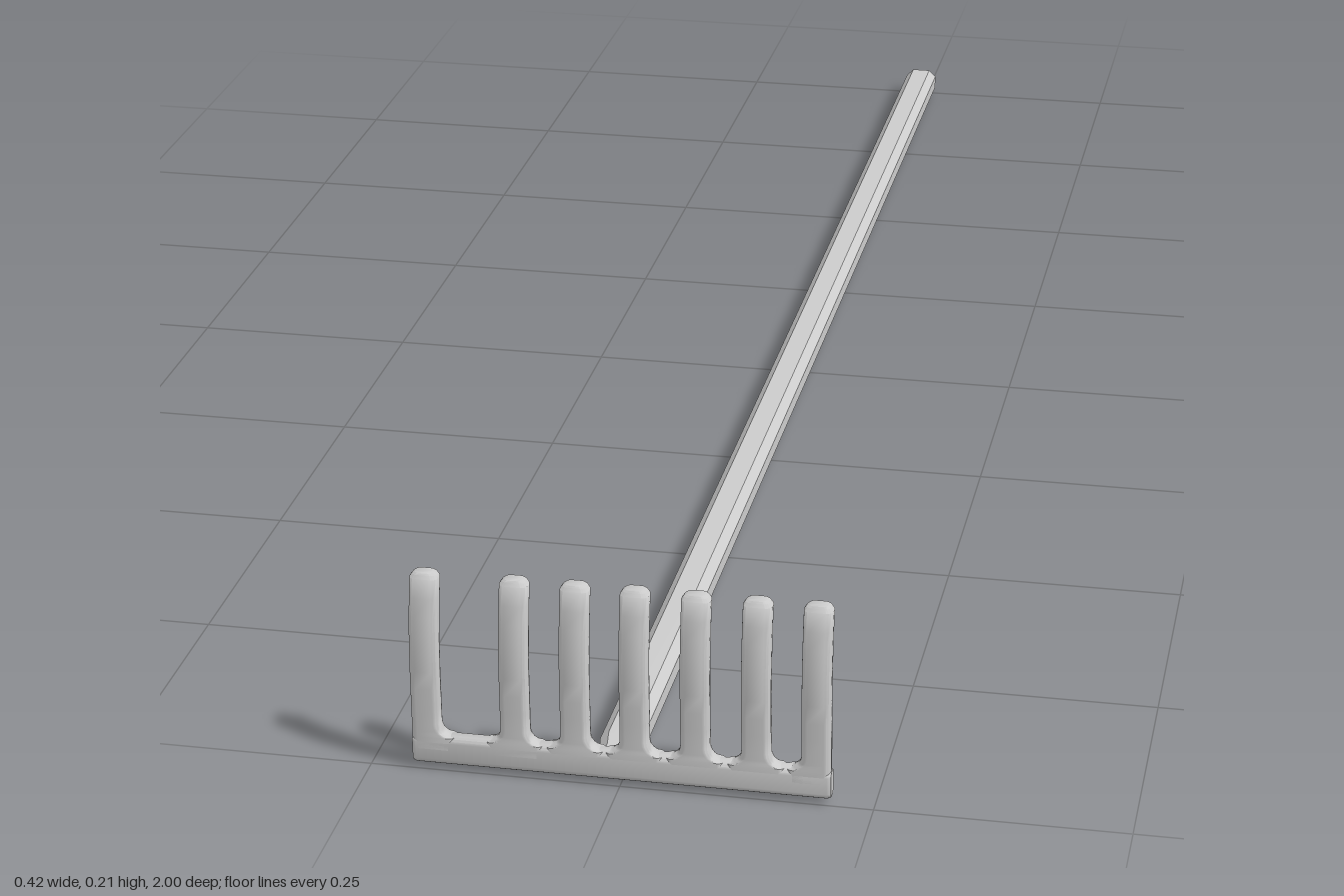
import * as THREE from 'three';
import { toCreasedNormals } from 'three/addons/utils/BufferGeometryUtils.js';

const material = new THREE.MeshStandardMaterial({ color: 0xcccccc });

// Skin a list of equal-length rings (counter-clockwise seen from the last ring) and cap both ends.
function loft(rings, crease) {
  const n = rings[0].length;
  const index = [];
  for (let r = 0; r < rings.length - 1; r++) {
    for (let i = 0; i < n; i++) {
      const a = r * n + i, b = r * n + (i + 1) % n;
      index.push(a, b, b + n, a, b + n, a + n);
    }
  }
  const last = (rings.length - 1) * n;
  for (let i = 1; i < n - 1; i++) {
    index.push(0, i + 1, i);
    index.push(last, last + i, last + i + 1);
  }
  const geometry = new THREE.BufferGeometry();
  geometry.setAttribute('position', new THREE.Float32BufferAttribute(rings.flat(2), 3));
  geometry.setIndex(index);
  return toCreasedNormals(geometry, crease);
}

// Rectangle outline with corners rounded in `steps` segments (1 = chamfer).
function roundedRect(w, h, radius, steps) {
  const points = [];
  const corners = [[1, 1], [-1, 1], [-1, -1], [1, -1]];
  corners.forEach(([sx, sy], c) => {
    for (let i = 0; i <= steps; i++) {
      const a = (c + i / steps) * Math.PI / 2;
      points.push([sx * (w / 2 - radius) + radius * Math.cos(a), sy * (h / 2 - radius) + radius * Math.sin(a)]);
    }
  });
  return points;
}

const DEPTH = 0.018, MID_Z = 0.991, TINE_W = 0.029, TOP = 0.206, BAR_TOP = 0.035;

// Tine: straight shank, rounded fillets at the bar, tip curving back.
function tineGeometry(x, flareLeft, flareRight) {
  const fillet = 0.0145;
  const levels = [[0.022, 1, 0]];
  for (let i = 0; i <= 6; i++) {
    const a = i / 6 * Math.PI / 2;
    levels.push([BAR_TOP + fillet * (1 - Math.cos(a)), 1 - Math.sin(a), 0]);
  }
  for (let i = 1; i <= 8; i++) levels.push([0.05 + i / 8 * (TOP - 0.055), 0, 0]);
  levels.push([TOP - 0.0015, 0, 0.0025], [TOP, 0, 0.005]);

  const rings = levels.map(([y, flare, inset]) => {
    const x0 = x - TINE_W / 2 - flareLeft * flare * fillet + inset;
    const x1 = x + TINE_W / 2 + flareRight * flare * fillet - inset;
    const bend = 0.014 * Math.max(0, (y - 0.1) / (TOP - 0.1)) ** 2;
    return roundedRect(x1 - x0, DEPTH - inset, 0.0065 - inset * 0.4, 4)
      .map(([px, pz]) => [(x0 + x1) / 2 + px, y, MID_Z - bend - pz]);
  });
  return loft(rings, 0.7);
}

export function createModel() {
  const rake = new THREE.Group();
  rake.name = 'rake';
  const add = (geometry, name, parent = rake) => {
    const mesh = new THREE.Mesh(geometry, material);
    mesh.name = name;
    parent.add(mesh);
  };

  // Head: cross bar with softened ends and seven tines
  const head = new THREE.Group();
  head.name = 'head';
  rake.add(head);

  const barRings = [[-0.208, 0.004], [-0.2065, 0.0015], [-0.204, 0], [0.204, 0], [0.2065, 0.0015], [0.208, 0.004]]
    .map(([x, inset]) => roundedRect(DEPTH - inset, 0.031 - inset, 0.0065 - inset * 0.4, 4)
      .map(([pz, py]) => [x, 0.0205 + py, MID_Z - pz]));
  add(loft(barRings, 0.7), 'crossBar', head);

  // The gap beside the first tine is twice as wide as the others
  const tines = [-0.194, -0.105, -0.045, 0.014, 0.074, 0.134, 0.193];
  tines.forEach((x, i) => {
    add(tineGeometry(x, i > 0 ? 1 : 0, i < tines.length - 1 ? 1 : 0), 'tine', head);
  });

  // Handle: long chamfered pole, narrowing to a neck that meets the bar
  const section = roundedRect(0.041, 0.034, 0.009, 1).map(([x, y]) =>
    [x, y]);
  const poleRings = [[-1, 1], [0.955, 1], [0.972, 0.8], [0.988, 0.8]]
    .map(([z, scale]) => section.map(([px, py]) => [-0.009 + px * scale, 0.017 + py * scale, z]));
  add(loft(poleRings, 0.3), 'handle');

  return rake;
}
